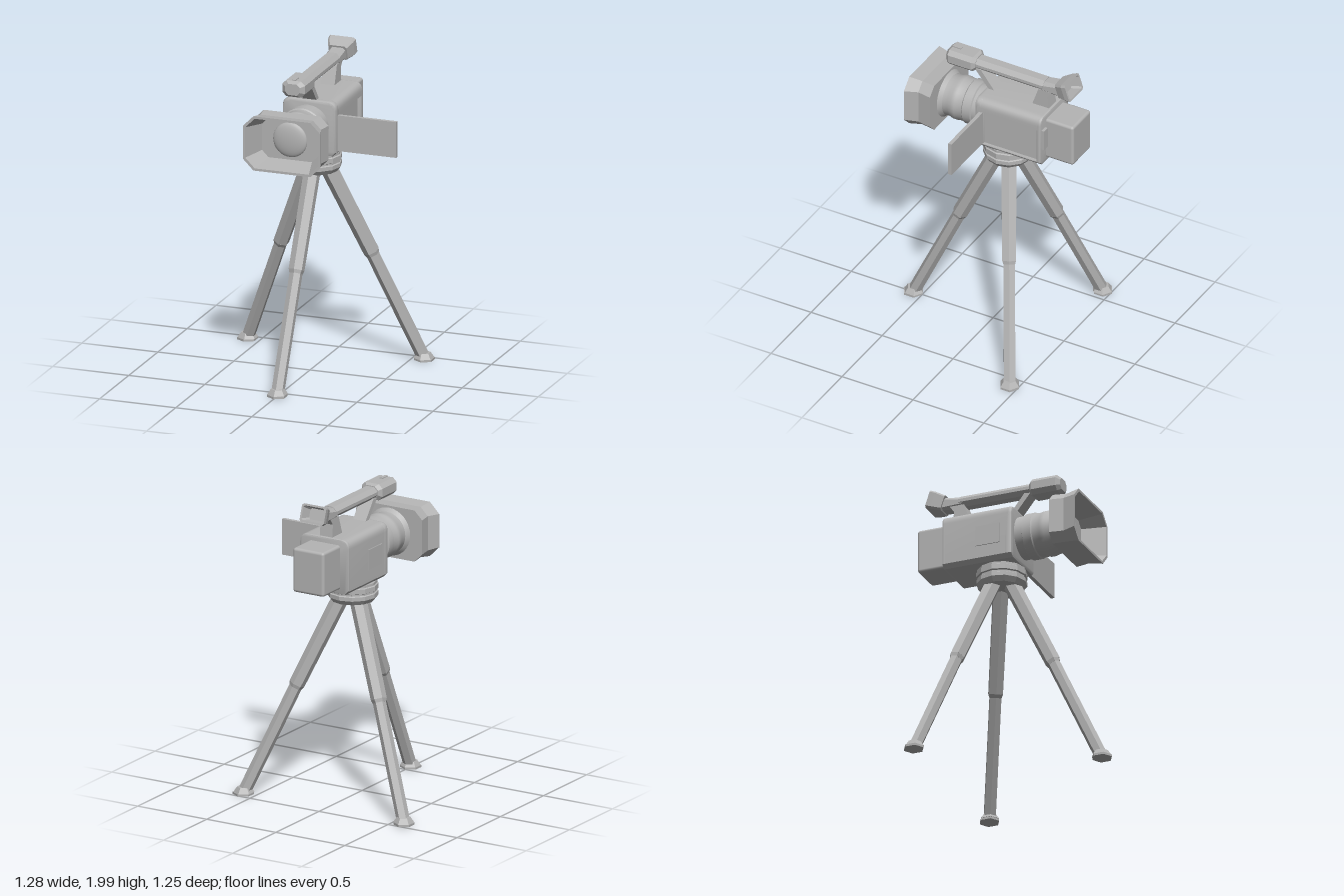
import * as THREE from 'three';
import { toCreasedNormals } from 'three/addons/utils/BufferGeometryUtils.js';
import { RoundedBoxGeometry } from 'three/addons/geometries/RoundedBoxGeometry.js';

const grey = new THREE.MeshStandardMaterial({ color: 0xb4b4b4 });
grey.name = 'plain grey';

function add(parent, name, geometry, x = 0, y = 0, z = 0) {
  const mesh = new THREE.Mesh(geometry, grey);
  mesh.name = name;
  mesh.position.set(x, y, z);
  parent.add(mesh);
  return mesh;
}

const box = (w, h, d) => new THREE.BoxGeometry(w, h, d);
const faceted = (r1, r2, h, n) => new THREE.CylinderGeometry(r1, r2, h, n).toNonIndexed();
function flat(geometry) {
  geometry.computeVertexNormals();
  return geometry;
}

// Chamfered rectangles joined along z; section = [z, halfWidth, halfHeight, chamfer, centreY]
function loft(sections) {
  const rings = sections.map(([z, w, h, c, y = 0]) =>
    [[w, c - h], [w, h - c], [w - c, h], [c - w, h], [-w, h - c], [-w, c - h], [c - w, -h], [w - c, -h]]
      .map(([px, py]) => [px, py + y, z]));
  const out = [];
  const tri = (...pts) => pts.forEach((p) => out.push(...p));
  for (let s = 0; s < rings.length - 1; s++) {
    const a = rings[s], b = rings[s + 1];
    for (let i = 0; i < 8; i++) {
      const j = (i + 1) % 8;
      tri(a[i], a[j], b[j]);
      tri(a[i], b[j], b[i]);
    }
  }
  const first = rings[0], last = rings[rings.length - 1];
  for (let i = 1; i < 7; i++) {
    tri(first[0], first[i + 1], first[i]);
    tri(last[0], last[i], last[i + 1]);
  }
  const g = new THREE.BufferGeometry();
  g.setAttribute('position', new THREE.Float32BufferAttribute(out, 3));
  return flat(g);
}

// Side outline of [z, y] points, given a width in x
function sidePlate(points, halfWidth) {
  const shape = new THREE.Shape(points.map(([z, y]) => new THREE.Vector2(z, y)));
  const g = new THREE.ExtrudeGeometry(shape, { depth: 2 * halfWidth, bevelEnabled: false });
  return g.rotateY(-Math.PI / 2).translate(halfWidth, 0, 0);
}

// Slice of the camera body between two z values, optionally notched on the left for the screen
function bodySlice(z0, z1, bevel, notched) {
  const l = -0.172, r = 0.18, b = 1.4, t = 1.75, k = 0.055, c = 0.025;
  const s = new THREE.Shape();
  s.moveTo(l + c, b);
  s.lineTo(r - c, b);
  s.lineTo(r, b + c);
  if (notched) {
    s.lineTo(r, 1.43);
    s.lineTo(r - 0.022, 1.43);
    s.lineTo(r - 0.022, 1.665);
    s.lineTo(r, 1.665);
  }
  s.lineTo(r, t - k);
  s.quadraticCurveTo(r, t, r - k, t);
  s.lineTo(l + k, t);
  s.quadraticCurveTo(l, t, l, t - k);
  s.lineTo(l, b + c);
  s.lineTo(l + c, b);
  const g = new THREE.ExtrudeGeometry(s, {
    depth: z1 - z0 - 2 * bevel, bevelEnabled: bevel > 0, bevelThickness: bevel,
    bevelSize: bevel, bevelOffset: -bevel, bevelSegments: 2, curveSegments: 6,
  });
  return toCreasedNormals(g.translate(0, 0, z0 + bevel), 0.6);
}

// Faceted tube leaning in the yz plane between two [y, z] points
function strut(parent, name, [y0, z0], [y1, z1], r0, r1) {
  const g = flat(faceted(r1, r0, Math.hypot(y1 - y0, z1 - z0), 6));
  add(parent, name, g, 0, (y0 + y1) / 2, (z0 + z1) / 2).rotation.x = Math.atan2(z1 - z0, y1 - y0);
}

function createTripod() {
  const tripod = new THREE.Group();
  tripod.name = 'tripod';
  tripod.position.z = -0.11;
  const profile = [[0, 1.265], [0.135, 1.265], [0.158, 1.295], [0.158, 1.32], [0.15, 1.325],
    [0.15, 1.335], [0.16, 1.34], [0.16, 1.37], [0.152, 1.375], [0.152, 1.39], [0, 1.39]];
  const head = new THREE.LatheGeometry(profile.map((p) => new THREE.Vector2(...p)), 12);
  add(tripod, 'head', flat(head.toNonIndexed()));
  add(tripod, 'mountingPlate', flat(faceted(0.1, 0.1, 0.03, 12)), 0, 1.395);
  for (let i = 0; i < 3; i++) {
    const leg = new THREE.Group();
    leg.name = 'leg';
    leg.rotation.y = (i * 2 * Math.PI) / 3;
    strut(leg, 'upperLeg', [0.715, 0.342], [1.3, 0.06], 0.05, 0.053);
    strut(leg, 'legCollar', [0.695, 0.351], [0.716, 0.341], 0.042, 0.05);
    strut(leg, 'lowerLeg', [0.025, 0.662], [0.72, 0.339], 0.041, 0.041);
    add(leg, 'footPad', flat(faceted(0.065, 0.065, 0.014, 6)), 0, 0.007, 0.672);
    add(leg, 'footTop', flat(faceted(0.042, 0.065, 0.034, 6)), 0, 0.031, 0.668);
    tripod.add(leg);
  }
  return tripod;
}

function createCamera() {
  const camera = new THREE.Group();
  camera.name = 'camera';

  // Body with the recess for the folding screen
  add(camera, 'body', bodySlice(-0.42, 0.01, 0, true));
  add(camera, 'bodyFront', bodySlice(-0.03, 0.03, 0.015, false));
  add(camera, 'bodyBack', bodySlice(-0.437, -0.405, 0.01, false));
  add(camera, 'screen', box(0.395, 0.23, 0.024), 0.3675, 1.547, -0.015);
  add(camera, 'sidePanel', box(0.012, 0.13, 0.16), -0.172, 1.57, -0.13);
  add(camera, 'battery', new RoundedBoxGeometry(0.226, 0.285, 0.22, 2, 0.018), 0, 1.572, -0.518);
  add(camera, 'backSwitch', box(0.045, 0.14, 0.03), 0.148, 1.595, -0.442);

  // Lens barrel, turned about the z axis
  const barrel = [[0.135, 0], [0.135, 0.08], [0.145, 0.085], [0.145, 0.14], [0.138, 0.147],
    [0.138, 0.19], [0.142, 0.2], [0.142, 0.225], [0.134, 0.25], [0.134, 0.285], [0.155, 0.312]];
  const lens = new THREE.LatheGeometry(barrel.map(([r, z]) => new THREE.Vector2(r, z)), 32);
  add(camera, 'lensBarrel', toCreasedNormals(lens.rotateX(Math.PI / 2), 0.5), 0, 1.585);

  // Flared hood with a hollow front, and the domed glass inside
  add(camera, 'lensHood', loft([
    [0.31, 0.24, 0.165, 0.055], [0.4, 0.225, 0.162, 0.052], [0.485, 0.255, 0.175, 0.068],
    [0.485, 0.24, 0.16, 0.062], [0.34, 0.185, 0.127, 0.042],
  ]), 0, 1.586);
  const glass = new THREE.SphereGeometry(0.112, 32, 8, 0, Math.PI * 2, 0, Math.PI / 2);
  add(camera, 'lensGlass', glass.scale(1, 0.25, 1).rotateX(Math.PI / 2), 0, 1.588, 0.34);

  // Carrying handle, its supports and the microphone
  add(camera, 'handleBar', loft([
    [-0.38, 0.053, 0.036, 0.026, 1.897], [0.1, 0.053, 0.036, 0.026, 1.897],
  ]));
  add(camera, 'frontSupport', sidePlate([[0, 1.74], [0.1, 1.865], [0.06, 1.87], [-0.04, 1.74]], 0.045));
  add(camera, 'rearSupport', sidePlate([[-0.3, 1.74], [-0.345, 1.87], [-0.44, 1.87], [-0.41, 1.83], [-0.42, 1.74]], 0.045));
  add(camera, 'microphone', loft([
    [0.095, 0.055, 0.04, 0.025], [0.115, 0.075, 0.052, 0.026],
    [0.28, 0.075, 0.052, 0.026], [0.302, 0.048, 0.036, 0.02],
  ]), 0, 1.898);
  add(camera, 'microphoneButton', box(0.024, 0.01, 0.06), 0, 1.951, 0.25);

  // Viewfinder with a hollow, upturned eyepiece
  add(camera, 'viewfinderNeck', loft([
    [-0.49, 0.05, 0.042, 0.015, 1.9], [-0.36, 0.05, 0.036, 0.023, 1.89],
  ]));
  const eyepiece = add(camera, 'eyepiece', loft([
    [0, 0.06, 0.05, 0.012], [0.06, 0.083, 0.057, 0.012], [0.093, 0.088, 0.058, 0.012],
    [0.093, 0.076, 0.046, 0.01], [0.03, 0.06, 0.035, 0.01],
  ]), 0, 1.903, -0.482);
  eyepiece.rotation.x = Math.PI + 0.32;
  return camera;
}

export function createModel() {
  const model = new THREE.Group();
  model.name = 'camcorderOnTripod';
  model.add(createTripod(), createCamera());
  return model;
}
